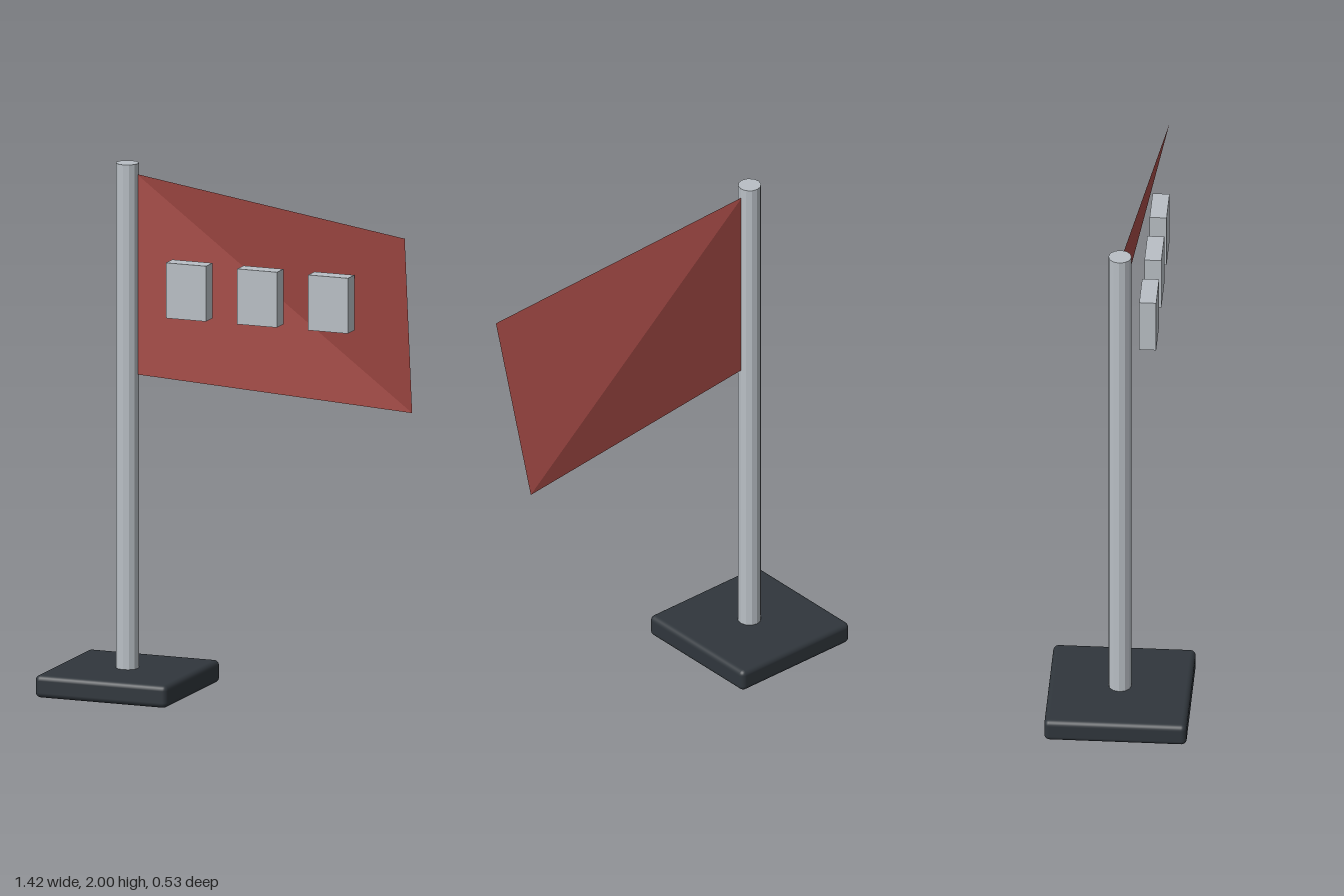
import * as THREE from 'three';
import { RoundedBoxGeometry } from 'three/addons/geometries/RoundedBoxGeometry.js';

const POLE_X = -0.447;

export function createModel() {
  const model = new THREE.Group();
  model.name = 'flagOnStand';

  const darkBase = new THREE.MeshStandardMaterial({ name: 'dark slate', color: 0x30363c });
  const metal = new THREE.MeshStandardMaterial({ name: 'light grey metal', color: 0xb9bfc5, flatShading: true });
  const cloth = new THREE.MeshStandardMaterial({
    name: 'red cloth', color: 0xa84c47, flatShading: true, side: THREE.DoubleSide,
  });

  function add(name, geometry, material, x, y, z) {
    const mesh = new THREE.Mesh(geometry, material);
    mesh.name = name;
    mesh.position.set(x, y, z);
    model.add(mesh);
    return mesh;
  }

  // Square foot with softened edges
  add('base', new RoundedBoxGeometry(0.53, 0.085, 0.53, 3, 0.02), darkBase, POLE_X, 0.0425, 0);

  // Twelve-sided pole
  add('pole', new THREE.CylinderGeometry(0.043, 0.043, 1.92, 12), metal, POLE_X, 1.04, 0);

  // Twisted flag: two triangles folded along the top-hoist to bottom-fly diagonal
  const flag = new THREE.BufferGeometry();
  flag.setAttribute('position', new THREE.Float32BufferAttribute([
    -0.41, 1.96, 0, // top hoist
    -0.41, 1.2, 0, // bottom hoist
    0.675, 1.13, -0.052, // bottom fly
    0.71, 1.825, 0.105, // top fly
  ], 3));
  flag.setIndex([0, 1, 2, 0, 2, 3]);
  flag.computeVertexNormals();
  add('flag', flag, cloth, 0, 0, 0);

  // Row of three raised blocks in front of the cloth
  const block = new THREE.BoxGeometry(0.16, 0.21, 0.063);
  for (let i = 0; i < 3; i++) {
    add(`block${i + 1}`, block, metal, -0.162 + i * 0.285, 1.555, 0.089);
  }

  return model;
}
